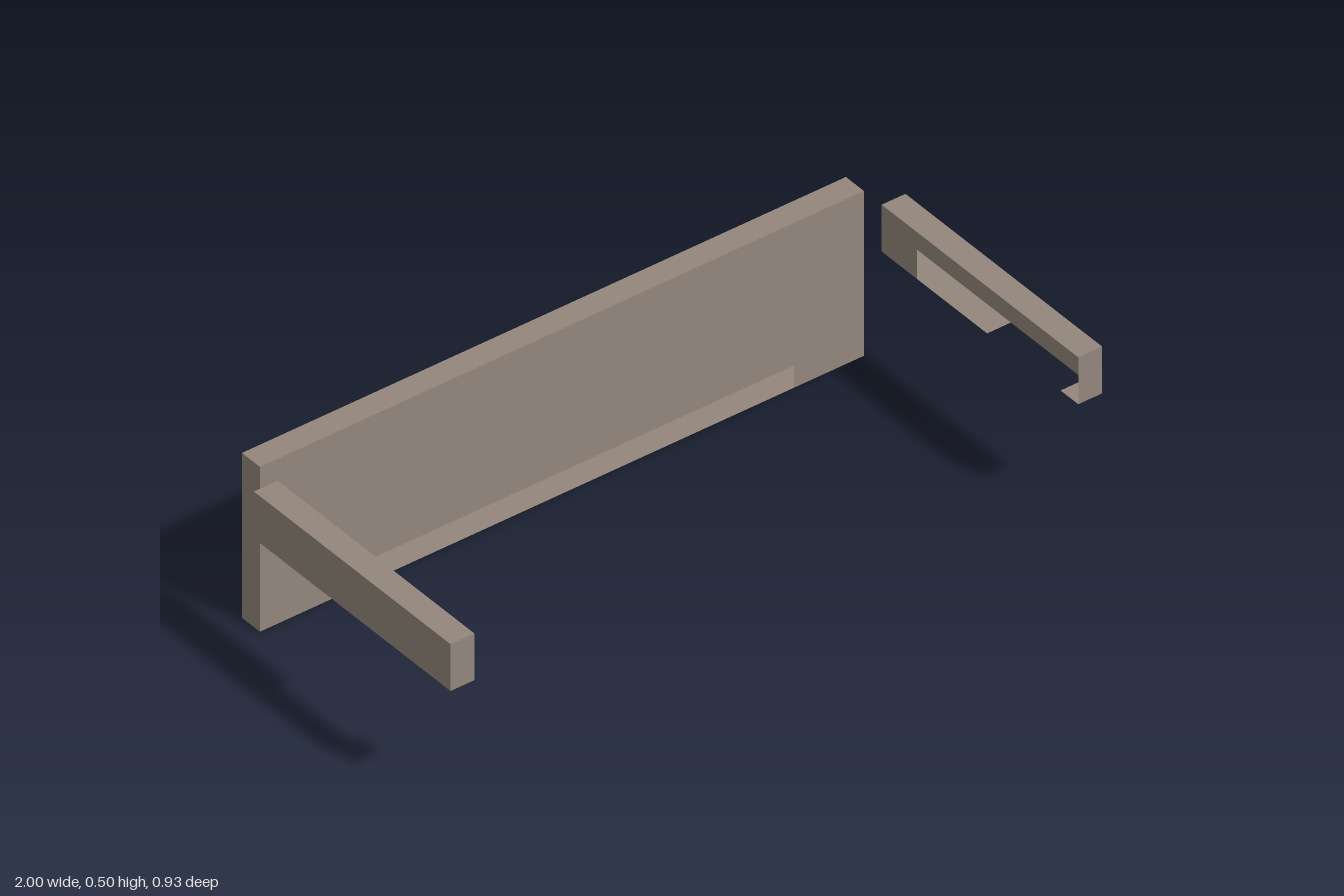
import * as THREE from 'three';

const taupe = new THREE.MeshStandardMaterial({ color: 0x94877c, side: THREE.DoubleSide });
taupe.name = 'taupe';

// Thin rectangular sheet facing the given axis, spanning from min to max
function sheet(name, axis, min, max) {
  const [w, h, d] = max.map((v, i) => v - min[i]);
  let geometry;
  if (axis === 'x') geometry = new THREE.PlaneGeometry(d, h).rotateY(Math.PI / 2);
  else if (axis === 'y') geometry = new THREE.PlaneGeometry(w, d).rotateX(-Math.PI / 2);
  else geometry = new THREE.PlaneGeometry(w, h);
  const mesh = new THREE.Mesh(geometry, taupe);
  mesh.name = name;
  mesh.position.set(...min.map((v, i) => (v + max[i]) / 2));
  return mesh;
}

// Hollow back panel, its front open between two end strips
function createBackPanel() {
  const group = new THREE.Group();
  group.name = 'backPanel';
  const x = 0.927, open = 0.713, top = 0.5, back = -0.465, front = -0.393;
  group.add(
    sheet('panelBack', 'z', [-x, 0, back], [x, top, back]),
    sheet('panelTop', 'y', [-x, top, back], [x, top, front]),
    sheet('panelBottom', 'y', [-x, 0, back], [x, 0, front])
  );
  for (const side of [-1, 1]) {
    const a = Math.min(side * x, side * open), b = Math.max(side * x, side * open);
    group.add(
      sheet('panelEnd', 'x', [side * x, 0, back], [side * x, top, front]),
      sheet('panelFrontStrip', 'z', [a, 0, front], [b, top, front])
    );
  }
  return group;
}

// Hollow armrest, open along most of its inner side and part of its floor
function createArm(side) {
  const group = new THREE.Group();
  group.name = side > 0 ? 'leftArm' : 'rightArm';
  const inner = side * 0.927, outer = side;
  const a = Math.min(inner, outer), b = Math.max(inner, outer);
  const low = 0.358, top = 0.5, back = -0.322, front = 0.465;
  group.add(
    sheet('armTop', 'y', [a, top, back], [b, top, front]),
    sheet('armOuterSide', 'x', [outer, low, back], [outer, top, front]),
    sheet('armFront', 'z', [a, low, front], [b, top, front]),
    sheet('armBack', 'z', [a, low, back], [b, top, back]),
    sheet('armInnerSide', 'x', [inner, low, back], [inner, top, -0.18]),
    sheet('armFrontFloor', 'y', [a, low, 0.394], [b, low, front]),
    sheet('armBackFloor', 'y', [a, low, back], [b, low, 0.1])
  );
  return group;
}

export function createModel() {
  const model = new THREE.Group();
  model.name = 'seatFrame';
  model.add(createBackPanel(), createArm(-1), createArm(1));
  return model;
}
